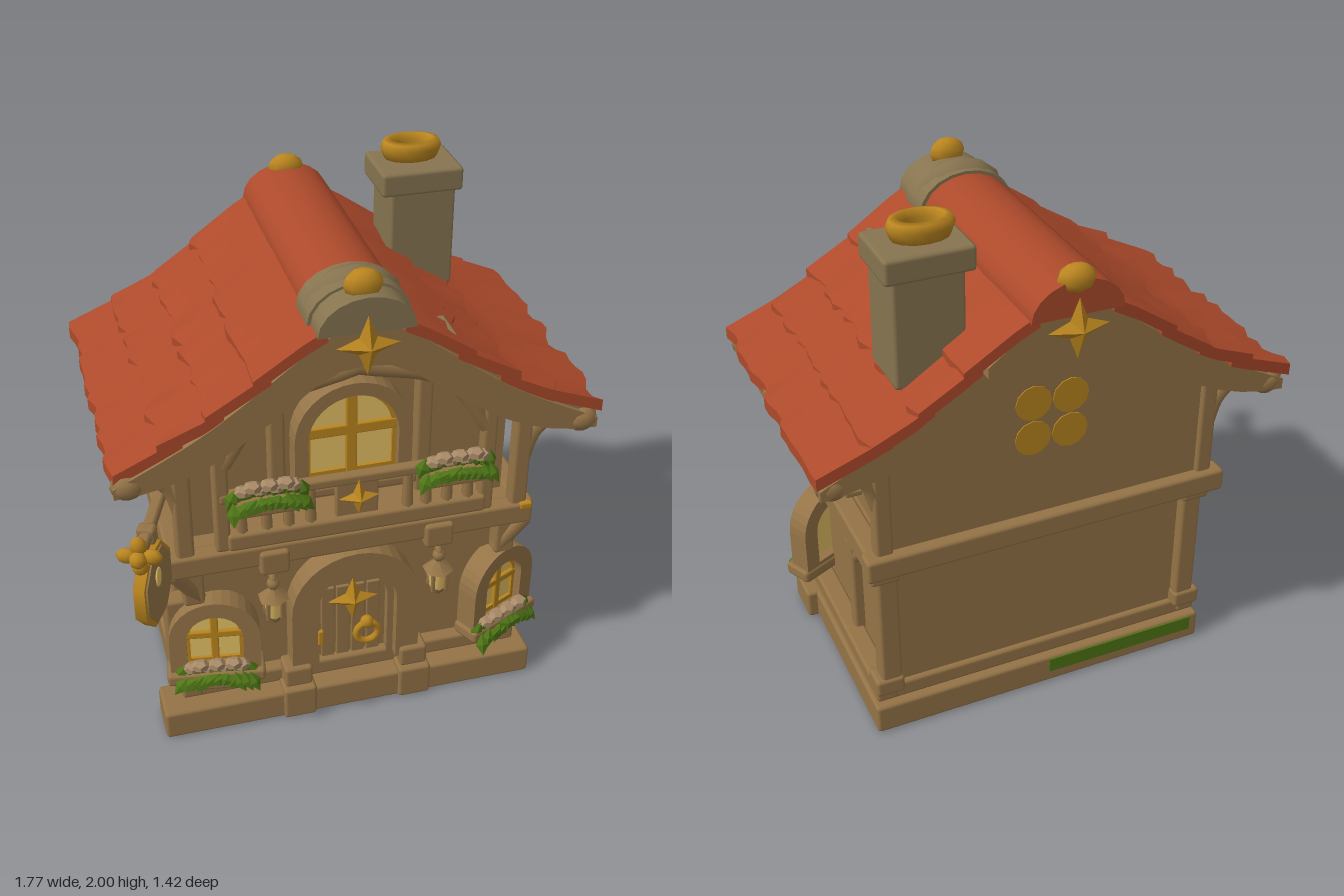
import * as THREE from 'three';
import { RoundedBoxGeometry } from 'three/addons/geometries/RoundedBoxGeometry.js';

const mat = (name, color) => {
  const m = new THREE.MeshStandardMaterial({ color });
  m.name = name;
  return m;
};
const wood = mat('brown timber', 0x957447), stone = mat('grey brown stone', 0x877450);
const red = mat('red roof tile', 0xad4a2b), gold = mat('gold', 0xbb861f);
const glass = mat('pale yellow glass', 0xe6c266), green = mat('leaf green', 0x4f7616);
const petal = mat('dusty petal', 0xa88a68);

let seed = 7;
const rnd = () => (seed = (seed * 16807) % 2147483647) / 2147483647;
const V = (x, y, z) => new THREE.Vector3(x, y, z);
const lerp = THREE.MathUtils.lerp;

// Roof height over distance from the ridge
const PROFILE = [[0, 1.8], [0.17, 1.71], [0.38, 1.55], [0.55, 1.43], [0.7, 1.35], [0.9, 1.25]];
function roofY(x) {
  const a = Math.abs(x);
  let i = 0;
  while (i < PROFILE.length - 2 && a > PROFILE[i + 1][0]) i++;
  const [p, q] = [PROFILE[i], PROFILE[i + 1]];
  return lerp(p[1], q[1], (a - p[0]) / (q[0] - p[0]));
}

function add(parent, name, geo, material, pos = [0, 0, 0], rot = [0, 0, 0]) {
  const m = new THREE.Mesh(geo, material);
  m.name = name;
  m.position.set(...pos);
  m.rotation.set(...rot);
  parent.add(m);
  return m;
}
const block = (g, name, size, pos, m = wood) =>
  add(g, name, new RoundedBoxGeometry(...size, 1, Math.min(0.014, Math.min(...size) * 0.3)), m, pos);
function beam(g, name, a, b, w, h = w, m = wood) {
  const A = V(...a), B = V(...b);
  const o = block(g, name, [w, h, A.distanceTo(B)], A.clone().add(B).multiplyScalar(0.5).toArray(), m);
  o.quaternion.setFromRotationMatrix(new THREE.Matrix4().lookAt(B, A, V(0, 1, 0)));
}
const bent = (g, name, pts, r) =>
  add(g, name, new THREE.TubeGeometry(new THREE.CatmullRomCurve3(pts.map(p => V(...p))), 10, r, 6), wood);
const blob = (g, name, size, pos, m, rot) => {
  const geo = new THREE.SphereGeometry(1, 8, 6).scale(...size);
  return add(g, name, geo, m, pos, rot);
};

function arch(w, h, y = 0, T = THREE.Shape) {
  const s = new T();
  s.moveTo(-w / 2, y).lineTo(w / 2, y).lineTo(w / 2, h - w / 2);
  s.absarc(0, h - w / 2, w / 2, 0, Math.PI, false);
  s.lineTo(-w / 2, y);
  return s;
}
const extrude = (s, depth) => new THREE.ExtrudeGeometry(s, { depth, bevelEnabled: false, curveSegments: 8 });
function archFrame(w, h, t, d, sill = t) {
  const s = arch(w, h, sill - t);
  s.holes.push(arch(w - 2 * t, h - t, sill, THREE.Path));
  return extrude(s, d);
}
// Arch open at the foot
function openArch(w, h, t, d) {
  const s = new THREE.Shape(), r = w / 2, c = h - r;
  s.moveTo(r - t, 0).lineTo(r, 0).lineTo(r, c);
  s.absarc(0, c, r, 0, Math.PI, false);
  s.lineTo(-r, 0).lineTo(t - r, 0).lineTo(t - r, c);
  s.absarc(0, c, r - t, Math.PI, 0, true);
  return extrude(s, d);
}

// Arched window with cross bars, origin at the middle of its foot
function makeWindow(parent, name, w, h, t, d, pos, ry, barMat, bar) {
  const g = new THREE.Group();
  g.name = name;
  g.position.set(...pos);
  g.rotation.y = ry;
  parent.add(g);
  add(g, 'windowFrame', archFrame(w, h, t, d), wood);
  add(g, 'windowGlass', extrude(arch(w - 1.8 * t, h - t, t * 0.9), 0.008), glass, [0, 0, d * 0.4]);
  block(g, 'windowPost', [bar, h - 1.8 * t, 0.02], [0, h / 2, d * 0.55], barMat);
  block(g, 'windowBar', [w - 1.8 * t, bar, 0.02], [0, h * 0.53, d * 0.55], barMat);
  add(g, 'innerTrim', archFrame(w - 1.8 * t, h - 0.9 * t, 0.02, 0.02, t + 0.02), barMat, [0, 0, d * 0.4]);
  block(g, 'windowSill', [w + 0.03, t * 0.8, d + 0.03], [0, t * 0.4, d / 2 + 0.01]);
}

// Raised four-pointed star
function star(g, r, pos, back = false, thick = 0.035) {
  const geo = new THREE.CircleGeometry(1, 8), p = geo.attributes.position;
  p.setZ(0, thick);
  for (let i = 1; i < p.count; i++) {
    const k = i % 2 ? r : r * 0.4;
    p.setXY(i, p.getX(i) * k, p.getY(i) * k);
  }
  const flat = geo.toNonIndexed();
  flat.computeVertexNormals();
  add(g, 'goldStar', flat, gold, pos, [0, back ? Math.PI : 0, 0]);
}

// Trough with two tiers of leaves and a row of flowers
function flowers(parent, w, pos, ry = 0) {
  const g = new THREE.Group();
  g.name = 'flowerBox';
  g.position.set(...pos);
  g.rotation.y = ry;
  parent.add(g);
  block(g, 'trough', [w * 0.78, 0.07, 0.06], [0, -0.06, -0.02]);
  for (let i = 0; i < 22; i++) {
    const u = (i % 11) / 5 - 1, tier = i < 11 ? 0 : 1;
    const leaf = new THREE.OctahedronGeometry(1).scale(0.046, 0.026, 0.012);
    add(g, 'leaf', leaf, green, [u * w * 0.45, -0.035 + tier * 0.04 - 0.02 * u * u + 0.012 * rnd(), 0.03 - tier * 0.035],
      [-0.5 + 0.3 * tier, 0.5 * u, -1.1 * u + (rnd() - 0.5) * 0.9]);
  }
  for (let i = 0; i < 7; i++)
    add(g, 'flower', new THREE.DodecahedronGeometry(0.03).scale(1.15, 0.75, 1), petal,
      [(i - 3) * w * 0.1, 0.02 + (i % 2) * 0.025, (i % 2) * 0.02]);
}

// One overlapping row of tiles with a ragged lower edge
function tileRow(g, side, x0, x1) {
  const N = 22, geo = new THREE.BoxGeometry(1, 1, 1, 3, 1, N), p = geo.attributes.position;
  const rag = Array.from({ length: N + 1 }, () => rnd() - 0.5);
  for (let i = 0; i < p.count; i++) {
    const u = side * p.getX(i) + 0.5, v = p.getZ(i) + 0.5, k = rag[Math.round(v * N)];
    const x = lerp(x0, x1, u) + u * k * 0.035;
    const ridge = 1 - x / 0.88;
    const y = roofY(x) + u * (0.02 + k * 0.035) + (p.getY(i) < 0 ? -0.045 : 0);
    p.setXYZ(i, side * x, y, lerp(-0.62 - 0.055 * ridge, 0.445 + 0.025 * ridge, v));
  }
  geo.computeVertexNormals();
  add(g, 'tileRow', geo, red);
}

// Curved band following the roof, thinner towards its ends
function roofBand(g, name, top, bottom, reach, z0, z1) {
  const xs = Array.from({ length: 21 }, (_, i) => (i / 10 - 1) * reach);
  const round = x => roofY(Math.max(Math.abs(x), 0.07));
  const low = x => lerp(bottom, top + 0.04, Math.abs(x / reach) ** 4);
  const s = new THREE.Shape([...xs.map(x => new THREE.Vector2(x, round(x) - low(x))),
    ...xs.reverse().map(x => new THREE.Vector2(x, round(x) - top))]);
  add(g, name, extrude(s, z1 - z0), wood, [0, 0, z0]);
}

export function createModel() {
  const g = new THREE.Group();
  g.name = 'cottage';

  // Base and steps
  block(g, 'base', [1.36, 0.12, 0.8], [0, 0.06, -0.1]);
  block(g, 'frontBase', [1.47, 0.12, 0.17], [-0.015, 0.06, 0.315]);
  block(g, 'sill', [1.32, 0.07, 0.8], [0, 0.155, -0.07]);
  for (const x of [-0.225, 0.235]) {
    block(g, 'stepBlock', [0.13, 0.14, 0.1], [x, 0.07, 0.365]);
    block(g, 'doorFoot', [0.11, 0.09, 0.1], [x, 0.18, 0.34]);
  }
  add(g, 'moss', new THREE.BoxGeometry(0.62, 0.06, 0.006), green, [-0.33, 0.08, -0.502]);

  // Walls of both floors
  block(g, 'lowerWall', [1.18, 0.64, 0.73], [0, 0.47, -0.085]);
  block(g, 'floorSlab', [1.3, 0.08, 0.86], [0, 0.79, -0.08]);
  const gx = [-0.6, -0.45, -0.3, -0.17, 0, 0.17, 0.3, 0.45, 0.6];
  const gable = new THREE.Shape([[-0.6, 0.8], [0.6, 0.8], ...gx.reverse().map(x => [x, roofY(x) - 0.08])]
    .map(p => new THREE.Vector2(...p)));
  add(g, 'upperWall', extrude(gable, 0.755), wood, [0, 0, -0.505]);
  for (const x of [-0.07, 0.07]) for (const y of [1.16, 1.3])
    add(g, 'rearSpot', new THREE.CylinderGeometry(0.068, 0.068, 0.006, 12), gold, [x, y, -0.506], [Math.PI / 2, 0, 0]);

  // Floor beams
  beam(g, 'frontBeam', [-0.7, 0.795, 0.355], [0.68, 0.795, 0.355], 0.07, 0.09);
  beam(g, 'rearBeam', [-0.7, 0.795, -0.51], [0.7, 0.795, -0.51], 0.08, 0.09);
  for (const x of [-0.31, 0.31]) block(g, 'corbel', [0.11, 0.1, 0.1], [x, 0.77, 0.36]);
  block(g, 'goldPeg', [0.05, 0.03, 0.03], [0.65, 0.83, 0.38], gold);

  // Timber framing, brackets and side windows
  for (const s of [-1, 1]) {
    beam(g, 'sideBeam', [s * 0.65, 0.795, 0.37], [s * 0.65, 0.795, -0.54], 0.08, 0.09);
    beam(g, 'sideSill', [s * 0.63, 0.165, 0.34], [s * 0.63, 0.165, -0.48], 0.08, 0.07);
    beam(g, 'rearPost', [s * 0.61, 0.18, -0.45], [s * 0.61, 0.77, -0.45], 0.08);
    block(g, 'postHead', [0.11, 0.06, 0.1], [s * 0.62, 0.72, -0.45]);
    block(g, 'postFoot', [0.11, 0.07, 0.1], [s * 0.62, 0.21, -0.45]);
    beam(g, 'frontPost', [s * 0.6, 0.58, 0.3], [s * 0.6, 0.77, 0.3], 0.08);
    bent(g, 'frontBrace', [[s * 0.58, 0.6, 0.31], [s * 0.62, 0.67, 0.33], [s * 0.67, 0.75, 0.35]], 0.03);
    for (const z of [0.345, -0.49]) {
      beam(g, 'upperPost', [s * 0.625, 0.82, z], [s * 0.625, 1.34, z], 0.065);
      bent(g, 'eaveBracket', [[s * 0.63, 1.02, z], [s * 0.67, 1.14, z], [s * 0.78, 1.23, z]], 0.032);
    }
    beam(g, 'sidePost', [s * 0.6, 0.18, -0.095], [s * 0.6, 0.77, -0.095], 0.06);
    beam(g, 'diagonalBrace', [s * 0.605, 0.68, 0.12], [s * 0.605, 0.5, -0.08], 0.035, 0.05);
    bent(g, 'curvedBrace', [[s * 0.6, 0.54, -0.12], [s * 0.6, 0.64, -0.24], [s * 0.6, 0.67, -0.43]], 0.028);
    makeWindow(g, 'sideWindow', 0.22, 0.24, 0.03, 0.05, [s * 0.585, 0.88, -0.09], s * Math.PI / 2, wood, 0.024);
    // Balcony posts and gable struts
    beam(g, 'balconyPost', [s * 0.49, 0.84, 0.36], [s * 0.49, 1.38, 0.36], 0.055);
    beam(g, 'gableStrut', [s * 0.27, 0.9, 0.27], [s * 0.27, 1.52, 0.27], 0.06);
    bent(g, 'gableBrace', [[s * 0.48, 1.2, 0.36], [s * 0.32, 1.42, 0.36], [0, 1.52, 0.36]], 0.032);
    flowers(g, 0.29, [s * 0.345 + 0.015, 1.09, 0.41]);
    // Hanging lantern
    const l = new THREE.Group();
    l.name = 'lantern';
    l.position.set(s * 0.32 + 0.01, 0.53, 0.35);
    g.add(l);
    add(l, 'lanternGlass', new THREE.CylinderGeometry(0.042, 0.03, 0.09, 6), glass);
    add(l, 'lanternRoof', new THREE.ConeGeometry(0.06, 0.05, 6), wood, [0, 0.065, 0]);
    add(l, 'lanternFoot', new THREE.CylinderGeometry(0.034, 0.024, 0.025, 6), wood, [0, -0.055, 0]);
    for (let i = 0; i < 4; i++)
      block(l, 'lanternBar', [0.015, 0.1, 0.015],
        [Math.sin((i + 0.5) * Math.PI / 2) * 0.037, 0, Math.cos((i + 0.5) * Math.PI / 2) * 0.037]);
    blob(l, 'lanternTop', [0.025, 0.025, 0.025], [0, 0.105, 0], wood);
    bent(l, 'lanternHook', [[0, 0.08, 0], [0, 0.13, 0], [0, 0.12, -0.07]], 0.014);
  }

  // Door with arched surround
  add(g, 'doorSurround', openArch(0.5, 0.54, 0.09, 0.11), wood, [0.005, 0.18, 0.26]);
  add(g, 'doorTrim', openArch(0.33, 0.455, 0.03, 0.07), wood, [0.005, 0.17, 0.26]);
  add(g, 'door', extrude(arch(0.29, 0.44), 0.02), wood, [0.005, 0.16, 0.275]);
  for (const x of [-0.09, -0.03, 0.03, 0.09]) block(g, 'doorPlank', [0.052, 0.37, 0.015], [x, 0.34, 0.3]);
  star(g, 0.1, [0, 0.48, 0.332]);
  add(g, 'doorRing', new THREE.TorusGeometry(0.045, 0.014, 6, 12), gold, [0.06, 0.3, 0.33]);
  blob(g, 'ringMount', [0.028, 0.028, 0.025], [0.06, 0.345, 0.325], gold);
  block(g, 'hinge', [0.022, 0.07, 0.02], [-0.125, 0.31, 0.33], gold);

  // Ground floor windows, turned outwards
  for (const [x, z, ry, w] of [[-0.525, 0.27, -0.15, 0.34], [0.575, 0.255, 0.45, 0.32]]) {
    makeWindow(g, 'frontWindow', w, 0.37, 0.064, 0.09, [x, 0.22, z], ry, gold, 0.03);
    flowers(g, 0.31, [x + Math.sin(ry) * 0.08, 0.28, z + 0.1], ry);
  }
  block(g, 'wallReturn', [0.12, 0.38, 0.08], [-0.645, 0.38, 0.25]);

  // Balcony and its window
  block(g, 'balconyFloor', [0.96, 0.07, 0.16], [0.005, 0.88, 0.32]);
  beam(g, 'balconyRail', [-0.5, 1.07, 0.37], [0.5, 1.07, 0.37], 0.045, 0.04);
  for (const x of [-0.42, -0.33, -0.25, -0.17, 0.19, 0.26, 0.34, 0.42])
    add(g, 'baluster', new THREE.CylinderGeometry(0.017, 0.022, 0.16, 6), wood, [x, 0.98, 0.37]);
  block(g, 'starPanel', [0.16, 0.15, 0.03], [0, 0.98, 0.365]);
  star(g, 0.075, [0, 1.0, 0.397]);
  makeWindow(g, 'balconyWindow', 0.43, 0.44, 0.05, 0.09, [0, 0.99, 0.24], 0, gold, 0.042);

  // Roof
  roofBand(g, 'roofLining', 0.02, 0.075, 0.86, -0.6, 0.44);
  roofBand(g, 'frontBargeBoard', 0.04, 0.19, 0.86, 0.38, 0.46);
  roofBand(g, 'rearBargeBoard', 0.04, 0.18, 0.86, -0.615, -0.54);
  roofBand(g, 'rearApex', 0.04, 0.17, 0.3, -0.655, -0.6);
  for (const s of [-1, 1]) {
    [[0.62, 0.87], [0.48, 0.7], [0.32, 0.54], [0.13, 0.38]].forEach(r => tileRow(g, s, ...r));
    beam(g, 'eaveBeam', [s * 0.82, 1.215, 0.45], [s * 0.82, 1.215, -0.61], 0.07, 0.06);
    for (const z of [0.43, -0.58]) blob(g, 'bargeEnd', [0.06, 0.05, 0.045], [s * 0.81, 1.22, z], wood);
  }
  // Weathered streaks on the tiles
  for (const [x, z0, z1] of [[0.32, 0.4, 0.26], [0.13, -0.07, -0.26]])
    beam(g, 'weatheredStreak', [x, roofY(x) + 0.005, z0], [x, roofY(x) + 0.005, z1], 0.03, 0.025, stone);
  // Half-round ridge pieces
  const cap = (name, r, z0, z1, m) => {
    const geo = new THREE.CylinderGeometry(r, r, z1 - z0, 10, 4, false, Math.PI / 2, Math.PI)
      .rotateX(Math.PI / 2).scale(1, 0.76, 1);
    add(g, name, geo, m, [0, 1.705, (z0 + z1) / 2]);
  };
  cap('ridgeCap', 0.165, -0.675, 0.24, red);
  cap('ridgeStone', 0.18, 0.23, 0.38, stone);
  cap('ridgeEnd', 0.168, 0.37, 0.475, stone);
  blob(g, 'ridgeCollar', [0.175, 0.14, 0.09], [0, 1.725, 0.3], stone);
  blob(g, 'frontFinial', [0.068, 0.055, 0.045], [0, 1.85, 0.41], gold);
  blob(g, 'rearFinial', [0.068, 0.05, 0.045], [0, 1.825, -0.65], gold);
  star(g, 0.11, [0, 1.66, 0.478], false, 0.04);
  star(g, 0.11, [0, 1.66, -0.678], true, 0.04);

  // Chimney
  block(g, 'chimneyShaft', [0.25, 0.42, 0.23], [0.425, 1.66, -0.37], stone);
  block(g, 'chimneyCap', [0.31, 0.09, 0.25], [0.42, 1.875, -0.37], stone);
  add(g, 'chimneyPot', new THREE.LatheGeometry([[0.075, -0.03], [0.1, -0.03], [0.115, 0.01], [0.105, 0.035],
    [0.08, 0.04], [0.07, 0.01], [0.07, -0.03]].map(p => new THREE.Vector2(...p)), 14).scale(1, 1, 0.7),
    gold, [0.41, 1.96, -0.38]);

  // Hanging sign
  const sign = new THREE.Group();
  sign.name = 'hangingSign';
  sign.position.set(-0.69, 1.1, 0.33);
  sign.rotation.y = -0.36;
  g.add(sign);
  beam(sign, 'signArm', [0, 0, -0.08], [0, 0, 0.34], 0.042);
  block(sign, 'armCollar', [0.065, 0.065, 0.05], [0, 0, 0.23]);
  blob(sign, 'armKnob', [0.03, 0.03, 0.03], [0, 0, 0.37], gold);
  for (let i = 0; i < 4; i++) {
    const a = i * Math.PI / 2;
    blob(sign, 'knobPetal', [0.036, 0.028, 0.022], [Math.cos(a) * 0.042, Math.sin(a) * 0.042, 0.35], gold, [0, 0, a]);
  }
  for (const z of [0.14, 0.27]) beam(sign, 'signHanger', [0, -0.1, z], [0, 0, z], 0.018, 0.018, gold);
  const disc = (name, r, t, m) =>
    add(sign, name, new THREE.CylinderGeometry(r, r, t, 8).rotateY(Math.PI / 8).rotateZ(Math.PI / 2).scale(1, 1.2, 1),
      m, [0, -0.225, 0.21], [0, -0.15, 0]);
  disc('signRim', 0.135, 0.04, gold);
  disc('signBoard', 0.12, 0.052, wood);
  for (const s of [-1, 1]) blob(sign, 'signSpot', [0.006, 0.04, 0.025], [s * 0.027, -0.18, 0.23], glass, [0, -0.15, 0]);

  return g;
}
